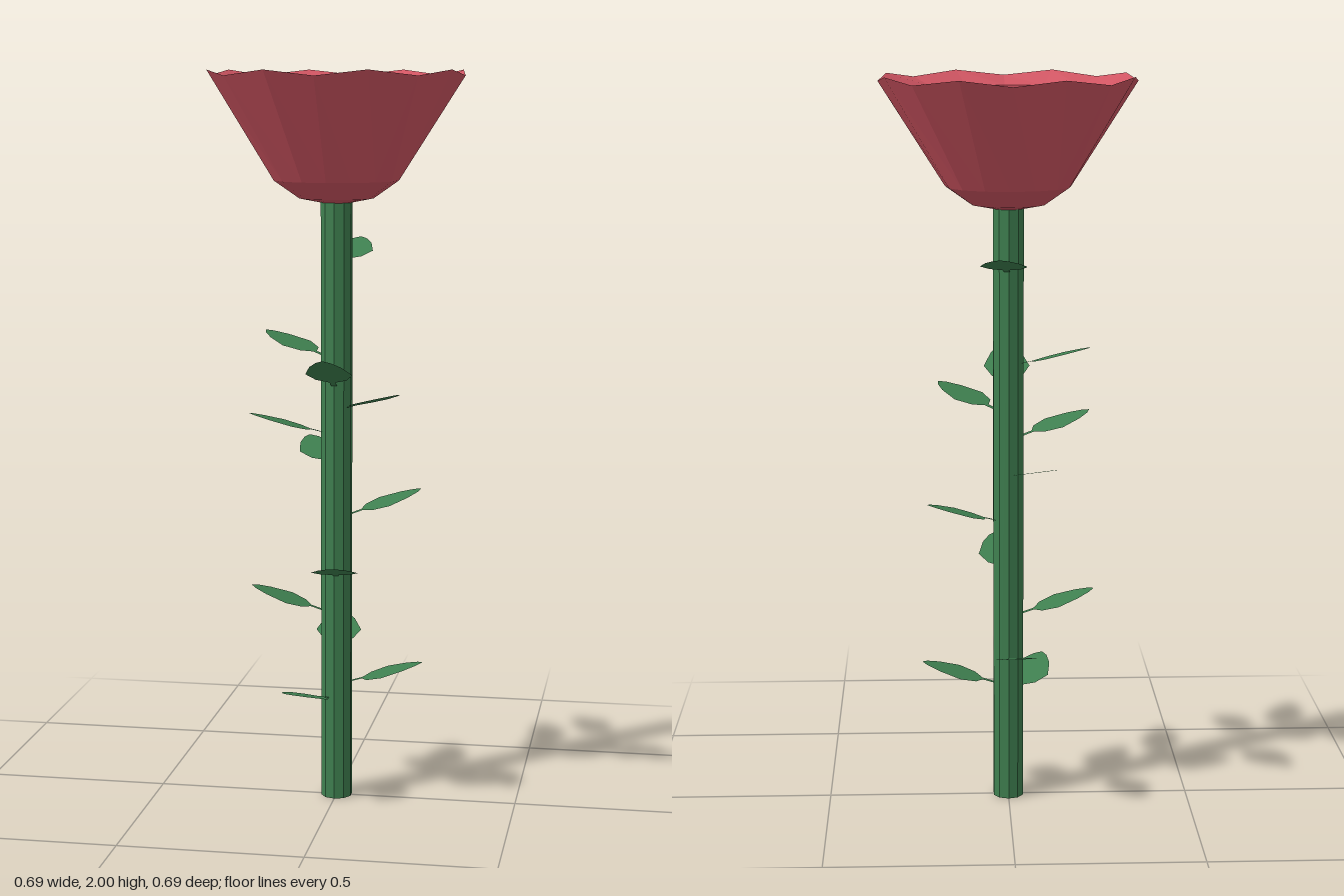
import * as THREE from 'three';

const mat = (color) => new THREE.MeshStandardMaterial({ color, flatShading: true, side: THREE.DoubleSide });

// Flat pointed blade on a thin stalk, running outwards along +z
function leafGeometry() {
  const half = [[0.008, 0.035], [0.008, 0.075], [0.042, 0.095], [0.063, 0.14], [0.043, 0.2], [0.02, 0.235]];
  const left = half.map(([x, r]) => new THREE.Vector2(x, r));
  const right = half.map(([x, r]) => new THREE.Vector2(-x, r)).reverse();
  const shape = new THREE.Shape([...left, new THREE.Vector2(0, 0.25), ...right]);
  // Turned so that the front of the blade faces up
  return new THREE.ShapeGeometry(shape).rotateX(-Math.PI / 2).rotateY(Math.PI);
}

// Lathe whose rings are slightly squared, with a wavy top rim
function cupGeometry(profile, sides) {
  const geo = new THREE.LatheGeometry(profile.map(([r, y]) => new THREE.Vector2(r, y)), sides);
  const p = geo.attributes.position;
  for (let i = 0; i < p.count; i++) {
    const a = Math.atan2(p.getX(i), p.getZ(i));
    const grow = 1 + 0.035 * Math.sin(2 * a) ** 2;
    const wave = p.getY(i) > 1.98 ? 0.015 * Math.sin(4 * a) ** 2 : 0;
    p.setXYZ(i, p.getX(i) * grow, p.getY(i) + wave, p.getZ(i) * grow);
  }
  geo.computeVertexNormals();
  return geo;
}

export function createModel() {
  const group = new THREE.Group();
  const green = mat(0x3f8050), red = mat(0xd05562), yellow = mat(0xc8d25e);
  const add = (name, geo, material) => {
    const mesh = new THREE.Mesh(geo, material);
    mesh.name = name;
    group.add(mesh);
    return mesh;
  };

  // Stem
  add('stem', new THREE.CylinderGeometry(0.043, 0.043, 1.68, 10).translate(0, 0.84, 0), green);

  // Blossom: outer wall, rim, then stepped petal layers down to the middle
  add('blossom', cupGeometry([
    [0, 1.65], [0.04, 1.65], [0.1, 1.662], [0.168, 1.71], [0.343, 1.985],
    [0.276, 1.96], [0.276, 1.945], [0.19, 1.92], [0.19, 1.882], [0, 1.82],
  ], 16), red);

  // Bud in the middle
  add('bud', new THREE.LatheGeometry([
    [0.07, 1.83], [0.07, 1.855], [0.055, 1.885], [0.03, 1.915], [0, 1.92],
  ].map(([r, y]) => new THREE.Vector2(r, y)), 12), yellow);

  // Leaves: heading in degrees from the front, height at the stem, height at the tip
  const leaves = [
    [-26, 0.29, 0.35], [90, 0.33, 0.395], [-173, 0.41, 0.475], [-87, 0.53, 0.6],
    [7, 0.635, 0.705], [112, 0.8, 0.865], [-152, 0.93, 0.985], [-70, 1.03, 1.09],
    [52, 1.1, 1.16], [0, 1.16, 1.265], [-116, 1.235, 1.295], [173, 1.485, 1.545],
  ];
  const blade = leafGeometry();
  for (const [deg, y0, y1] of leaves) {
    const slope = (y1 - y0) / 0.21;
    const leaf = add('leaf', blade, green);
    leaf.position.y = y0 - slope * 0.04;
    leaf.rotation.set(-Math.atan(slope), THREE.MathUtils.degToRad(deg), 0, 'YXZ');
  }
  return group;
}
